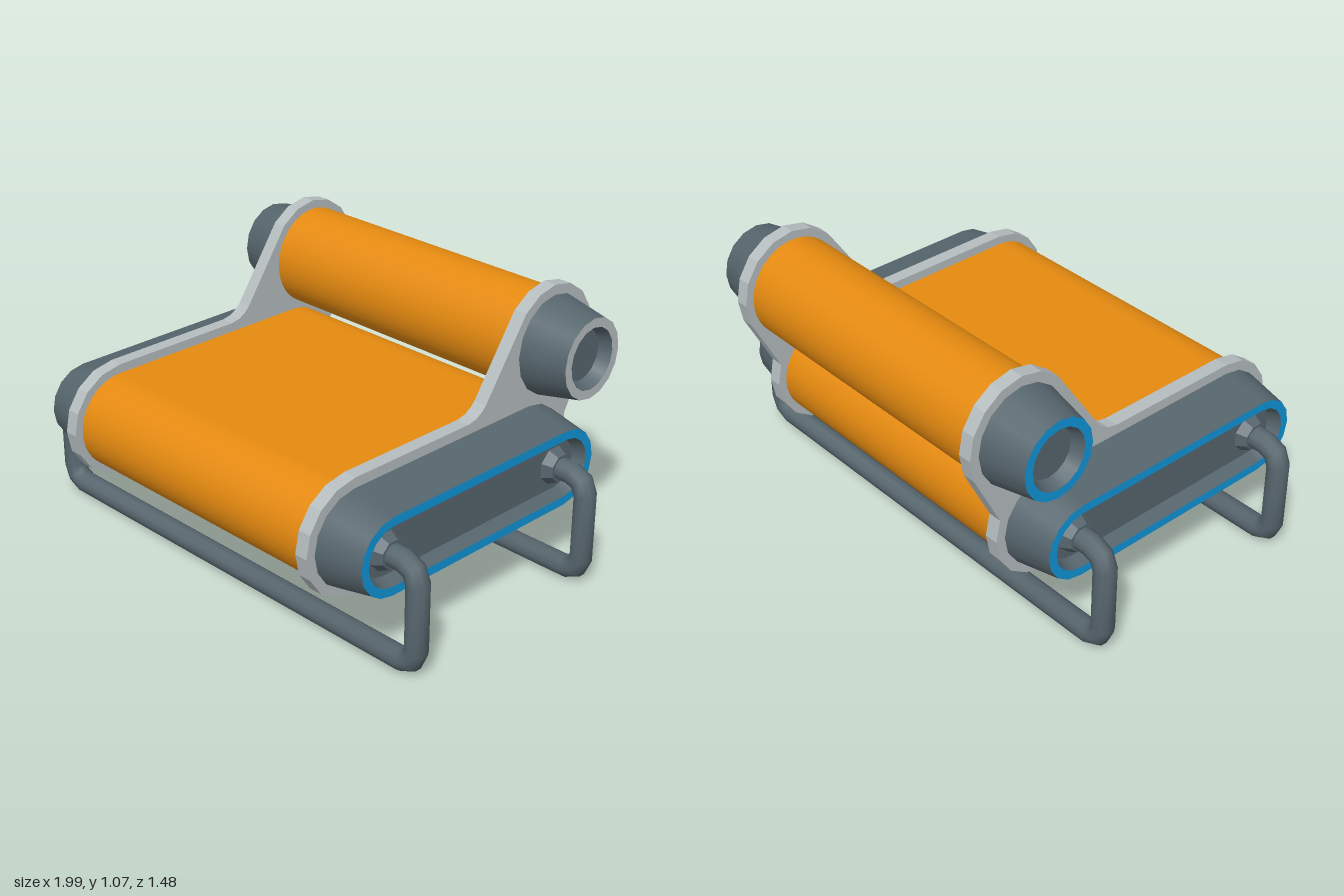
import * as THREE from 'three';

const mat = (name, color) => {
  const m = new THREE.MeshStandardMaterial({ color });
  m.name = name;
  return m;
};

// Sweeps a profile of [x, radius] points round a stadium (halfLength 0 gives a circle).
// Smooth round the stadium, sharp between profile steps. side -1 mirrors in x.
function stadiumLoft(halfLength, profile, segments, side = 1) {
  const pos = [], norm = [], index = [];
  const ring = [];
  for (let end = 0; end < 2; end++) {
    for (let i = 0; i <= segments; i++) {
      const a = -Math.PI / 2 + end * Math.PI + (i / segments) * Math.PI;
      ring.push([Math.sin(a), Math.cos(a), end ? -halfLength : halfLength]);
    }
  }
  ring.push(ring[0]);
  for (let k = 0; k < profile.length - 1; k++) {
    const dx = profile[k + 1][0] - profile[k][0];
    const dr = profile[k + 1][1] - profile[k][1];
    const len = Math.hypot(dx, dr);
    const base = pos.length / 3;
    ring.forEach(([sy, cz, offset], i) => {
      for (const [x, r] of [profile[k], profile[k + 1]]) {
        pos.push(side * x, sy * r, cz * r + offset);
        norm.push((-side * dr) / len, (sy * dx) / len, (cz * dx) / len);
      }
      if (i < ring.length - 1) {
        const a = base + i * 2, b = a + 1, c = a + 3, d = a + 2;
        if (side > 0) index.push(a, b, c, a, c, d);
        else index.push(a, c, b, a, d, c);
      }
    });
  }
  const g = new THREE.BufferGeometry();
  g.setAttribute('position', new THREE.Float32BufferAttribute(pos, 3));
  g.setAttribute('normal', new THREE.Float32BufferAttribute(norm, 3));
  g.setIndex(index);
  return g;
}

// Side plate outline, drawn with x pointing to the back of the model
function plateShape() {
  const pts = [];
  const arc = (cx, cy, rx, ry, from, to) => {
    for (let d = from; d <= to; d += 22.5) {
      const a = THREE.MathUtils.degToRad(d);
      pts.push(new THREE.Vector2(cx + rx * Math.cos(a), cy + ry * Math.sin(a)));
    }
  };
  arc(-0.51, 0.437, 0.23, 0.229, 90, 270);
  arc(0.395, 0.437, 0.23, 0.229, 270, 382.5);
  arc(0.512, 0.84, 0.227, 0.237, -22.5, 135);
  for (const [x, y] of [[0.15, 0.712], [0.13, 0.692], [0.1, 0.674], [0.06, 0.666]]) {
    pts.push(new THREE.Vector2(x, y));
  }
  return new THREE.Shape(pts);
}

// Curve that passes straight through a list of points, one tube ring for each
class PointPath extends THREE.Curve {
  constructor(points) {
    super();
    this.points = points;
  }
  getPointAt(t) {
    return this.points[Math.round(t * (this.points.length - 1))].clone();
  }
  getTangentAt(t) {
    const p = this.points, i = Math.round(t * (p.length - 1));
    const dir = (a, b) => p[b].clone().sub(p[a]).normalize();
    if (i === 0) return dir(0, 1);
    if (i === p.length - 1) return dir(i - 1, i);
    return dir(i - 1, i).add(dir(i, i + 1)).normalize();
  }
}

function legGeometry() {
  const half = [];
  const bend = (cx, cy, from) => {
    for (let i = 0; i <= 2; i++) {
      const a = from - (i * Math.PI) / 4;
      half.push(new THREE.Vector3(cx + 0.066 * Math.cos(a), cy + 0.066 * Math.sin(a), 0));
    }
  };
  half.push(new THREE.Vector3(0.79, 0.436, 0));
  bend(0.89, 0.37, Math.PI / 2);
  bend(0.89, 0.11, 0);
  const mirrored = half.map((p) => new THREE.Vector3(-p.x, p.y, 0)).reverse();
  const path = [...half, ...mirrored];
  return new THREE.TubeGeometry(new PointPath(path), path.length - 1, 0.044, 10, false);
}

export function createModel() {
  const model = new THREE.Group();
  model.name = 'beltRoller';
  const orange = mat('orange', 0xe58a10);
  const dark = mat('slateGrey', 0x56656d);
  const light = mat('lightGrey', 0xb5bdbf);
  const blue = mat('blue', 0x1094d8);

  const add = (name, geometry, material, x, y, z) => {
    const mesh = new THREE.Mesh(geometry, material);
    mesh.name = name;
    mesh.position.set(x, y, z);
    model.add(mesh);
    return mesh;
  };

  // Lower flat belt body and upper round roller, each with tapered hollow end caps
  const bodies = [
    { name: 'belt', y: 0.437, z: 0.058, half: 0.455, r: 0.193, tall: 1, segs: 8, rims: { 1: blue, '-1': blue } },
    { name: 'roller', y: 0.841, z: -0.512, half: 0, r: 0.193, tall: 1.04, segs: 8, rims: { 1: light, '-1': blue } },
  ];
  for (const b of bodies) {
    const part = (name, profile, material, segs, side = 1) => {
      add(name, stadiumLoft(b.half, profile, segs, side), material, 0, b.y, b.z).scale.y = b.tall;
    };
    part(b.name + 'Body', [[-0.62, b.r], [0.62, b.r]], orange, 20);
    for (const side of [1, -1]) {
      part(b.name + 'EndCap', [[0.66, 0.19], [0.85, 0.153]], dark, b.segs, side);
      part(b.name + 'Rim', [[0.85, 0.153], [0.85, 0.118]], b.rims[side], b.segs, side);
      part(b.name + 'Recess', [[0.85, 0.118], [0.8, 0.098], [0.8, 0]], dark, b.segs, side);
    }
  }

  // Side plates joining the two bodies
  const plate = new THREE.ExtrudeGeometry(plateShape(), { depth: 0.055, bevelEnabled: false });
  plate.rotateY(Math.PI / 2);
  add('leftSidePlate', plate, light, 0.61, 0, 0);
  add('rightSidePlate', plate, light, -0.665, 0, 0);

  // Bent tube legs with a collar at each socket
  const leg = legGeometry();
  for (const [name, z] of [['front', 0.503], ['back', -0.386]]) {
    add(name + 'Leg', leg, dark, 0, 0, z);
    for (const side of [1, -1]) {
      const collar = new THREE.CylinderGeometry(0.055, 0.075, 0.04, 8).toNonIndexed();
      collar.computeVertexNormals();
      collar.rotateY(Math.PI / 8);
      add(name + 'LegCollar', collar, dark, side * 0.82, 0.436, z).rotation.z = -side * Math.PI / 2;
    }
  }
  return model;
}
